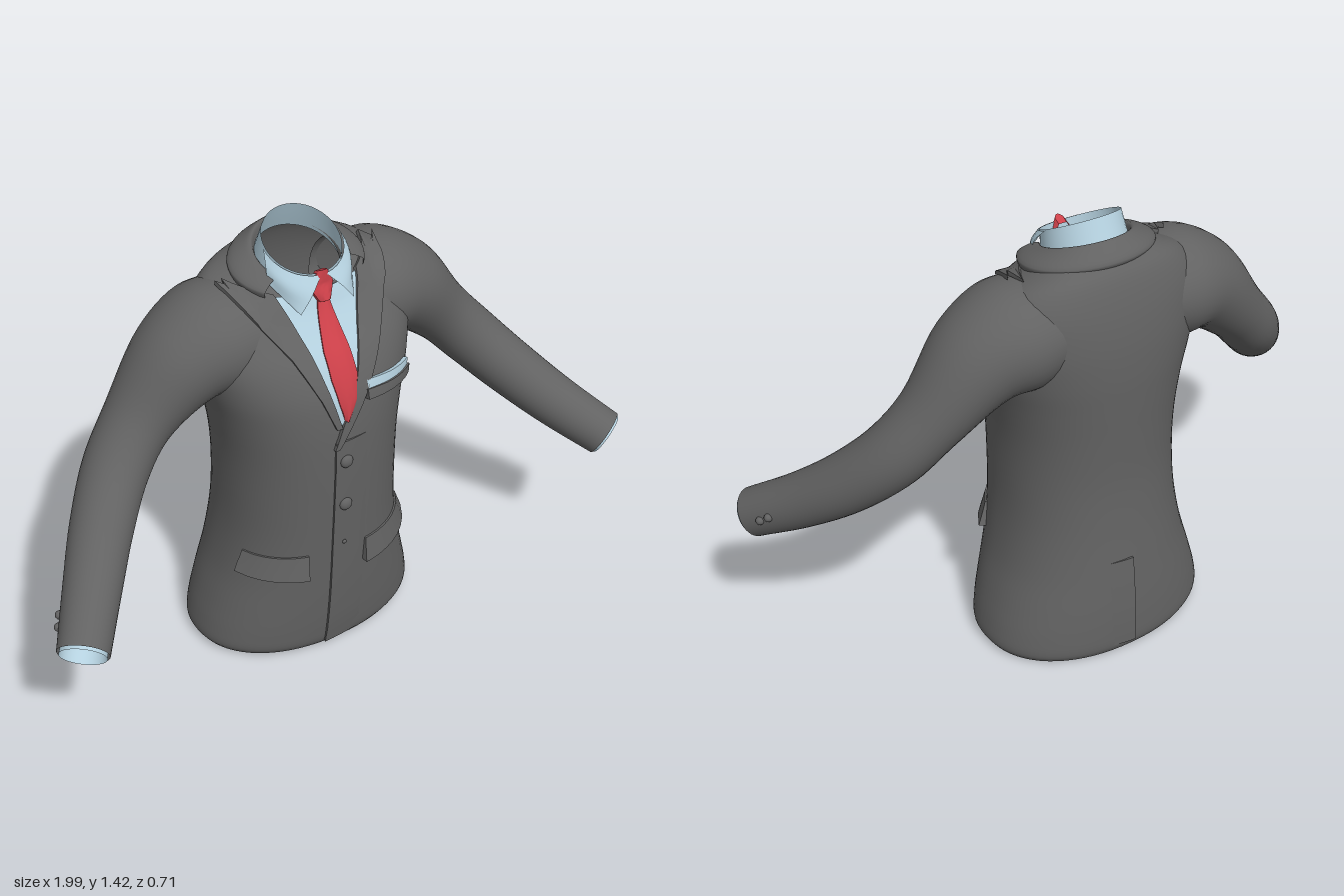
import * as THREE from 'three';
import { toCreasedNormals } from 'three/addons/utils/BufferGeometryUtils.js';

const V = (x, y, z) => new THREE.Vector3(x, y, z);
const lerp = THREE.MathUtils.lerp;

// Surface through a grid of points; rows[i][j], optionally closed around j.
function gridGeometry(rows, closed) {
  const n = rows[0].length, index = [];
  for (let i = 0; i < rows.length - 1; i++) {
    for (let j = 0; j < (closed ? n : n - 1); j++) {
      const k = (j + 1) % n, a = i * n, b = a + n;
      index.push(a + j, b + j, a + k, b + j, b + k, a + k);
    }
  }
  const geo = new THREE.BufferGeometry().setFromPoints(rows.flat());
  geo.setIndex(index);
  geo.computeVertexNormals();
  return geo;
}

// Smooth loft: a spline runs through the same point of every ring.
function loft(rings, steps, closed = true) {
  const curves = rings[0].map((_, j) => new THREE.CatmullRomCurve3(rings.map(r => r[j])));
  const rows = [];
  for (let i = 0; i <= steps; i++) rows.push(curves.map(c => c.getPoint(i / steps)));
  return gridGeometry(rows, closed);
}

export function createModel() {
  const model = new THREE.Group();
  model.name = 'suitJacket';
  const mat = (name, color) => {
    const m = new THREE.MeshStandardMaterial({ color, side: THREE.DoubleSide });
    m.name = name;
    return m;
  };
  const cloth = mat('charcoal cloth', 0x626262);
  const shirt = mat('pale blue shirt', 0xb4d0de);
  const red = mat('red tie', 0xcc4049);
  const add = (name, geo, material) => {
    const mesh = new THREE.Mesh(geo, material);
    mesh.name = name;
    model.add(mesh);
    return mesh;
  };

  // Body: height, half width, front z, back z, backward rise of the ring
  const bodyRings = [
    [0.008, 0.366, 0.16, -0.355, -0.02], [0.03, 0.378, 0.172, -0.364, -0.02],
    [0.09, 0.37, 0.181, -0.365, 0], [0.18, 0.346, 0.19, -0.36, 0],
    [0.3, 0.312, 0.198, -0.348, 0], [0.45, 0.287, 0.203, -0.332, 0],
    [0.6, 0.28, 0.207, -0.322, 0], [0.75, 0.284, 0.209, -0.324, 0],
    [0.88, 0.304, 0.204, -0.329, 0], [0.98, 0.33, 0.188, -0.331, 0],
    [1.08, 0.35, 0.15, -0.325, 0.05], [1.17, 0.34, 0.1, -0.306, 0.15],
    [1.24, 0.285, 0.062, -0.277, 0.25], [1.28, 0.2, 0.045, -0.245, 0.3],
    [1.315, 0.128, 0.03, -0.215, 0.4],
  ].map(([y, w, zf, zb, rise]) => {
    const zc = (zf + zb) / 2, d = (zf - zb) / 2, ring = [];
    const bend = c => Math.sign(c) * Math.abs(c) ** 0.92;
    for (let j = 0; j < 72; j++) {
      const a = j / 72 * Math.PI * 2, z = bend(Math.sin(a)) * d;
      ring.push(V(bend(Math.cos(a)) * w, y - rise * z, zc + z));
    }
    return ring;
  });
  const targets = [add('jacketBody', loft(bodyRings, 60), cloth)];

  // Sleeves with shirt cuffs: centre x, y, z, radius across, radius in depth
  const arm = [
    [0.17, 1.12, -0.115, 0.15, 0.17], [0.28, 1.105, -0.115, 0.165, 0.18],
    [0.39, 1.06, -0.11, 0.14, 0.155], [0.53, 0.92, -0.1, 0.1, 0.112],
    [0.63, 0.81, -0.06, 0.095, 0.102], [0.73, 0.7, 0.03, 0.09, 0.094],
    [0.83, 0.6, 0.15, 0.083, 0.084], [0.93, 0.515, 0.28, 0.075, 0.075],
  ];
  const spine = new THREE.CatmullRomCurve3(arm.map(p => V(p[0], p[1], p[2])));
  const armRing = (center, t, ru, rv, side) => {
    const v = V(0, 0, 1).addScaledVector(t, -t.z).normalize();
    const u = t.clone().cross(v), ring = [];
    for (let j = 0; j < 36; j++) {
      const a = j / 36 * Math.PI * 2;
      const p = center.clone().addScaledVector(u, Math.cos(a) * ru).addScaledVector(v, Math.sin(a) * rv);
      p.x *= side;
      ring.push(p);
    }
    return side < 0 ? ring.reverse() : ring;
  };
  const ray = new THREE.Raycaster();
  const end = spine.getPoint(1), aim = spine.getTangent(1);
  const cuff = [[-0.13, 0.05], [-0.05, 0.064], [0.008, 0.068]];
  for (const [side, label] of [[1, 'left'], [-1, 'right']]) {
    const rings = arm.map((p, i) =>
      armRing(V(p[0], p[1], p[2]), spine.getTangent(i / (arm.length - 1)), p[3], p[4], side));
    const sleeve = add(label + 'Sleeve', loft(rings, 42), cloth);
    targets.push(sleeve);
    const cuffRings = cuff.map(([s, r]) => armRing(end.clone().addScaledVector(aim, s), aim, r, r, side));
    add(label + 'ShirtCuff', loft(cuffRings, 6), shirt);
    for (const [y, z] of [[0.553, 0.184], [0.572, 0.16]]) {
      ray.set(V(side * 2, y, z), V(-side, 0, 0));
      const hit = ray.intersectObject(sleeve)[0];
      if (hit) add(label + 'SleeveButton', new THREE.SphereGeometry(0.013, 12, 8), cloth).position.copy(hit.point);
    }
  }

  // Point lying on the garment at x, y, lifted along its normal
  function onCloth(x, y, lift, dir = 1) {
    for (let yy = y; yy > y - 0.2; yy -= 0.008) {
      ray.set(V(x, yy, 2 * dir), V(0, 0, -dir));
      const hit = ray.intersectObjects(targets)[0];
      if (hit && hit.face.normal.z * dir > 0) {
        return V(x, y, hit.point.z).addScaledVector(hit.face.normal, lift);
      }
    }
    return V(x, y, 0);
  }

  // Thin layer following the garment; rows are [x0, y0, x1, y1], lift(u, v)
  function patch(name, rows, lift, material, dir = 1, nu = 8) {
    const grid = [], total = (rows.length - 1) * 6;
    for (let i = -1; i <= total + 1; i++) {
      const s = THREE.MathUtils.clamp(i, 0, total), k = Math.min(Math.floor(s / 6), rows.length - 2);
      const r = rows[k].map((q, c) => lerp(q, rows[k + 1][c], s / 6 - k)), line = [];
      for (let j = -1; j <= nu + 1; j++) {
        const u = THREE.MathUtils.clamp(j / nu, 0, 1);
        const rim = i < 0 || i > total || j < 0 || j > nu;
        const h = rim ? -0.003 : typeof lift === 'number' ? lift : lift(u, s / total);
        line.push(onCloth(lerp(r[0], r[2], u), lerp(r[1], r[3], u), h, dir));
      }
      grid.push(line);
    }
    return add(name, toCreasedNormals(gridGeometry(grid, false), 0.7), material);
  }

  // Shirt front, tie and lapels
  patch('shirtFront', [[-0.14, 1.25, 0.14, 1.25], [-0.12, 1.2, 0.12, 1.2], [-0.1, 1.1, 0.09, 1.1],
    [-0.068, 0.98, 0.03, 0.98], [-0.04, 0.89, -0.022, 0.89]], 0.005, shirt);
  patch('tieBlade', [[-0.02, 1.235, 0.014, 1.235], [-0.05, 1.1, 0.032, 1.1], [-0.05, 1.03, 0.035, 1.03],
    [-0.038, 0.96, 0.022, 0.96], [-0.024, 0.9, -0.012, 0.9]],
  u => 0.01 + 0.008 * Math.sin(u * Math.PI), red);
  patch('tieKnot', [[-0.014, 1.31, 0.012, 1.31], [-0.042, 1.262, 0.034, 1.262], [-0.02, 1.222, 0.014, 1.222]],
    u => 0.02 + 0.012 * Math.sin(u * Math.PI), red);
  patch('leftLapel', [[0.135, 1.255, 0.27, 1.278], [0.108, 1.2, 0.222, 1.2], [0.066, 1.1, 0.15, 1.1],
    [0.016, 0.98, 0.065, 0.98], [-0.03, 0.89, 0.005, 0.89], [-0.06, 0.81, -0.045, 0.81]], 0.012, cloth);
  patch('rightLapel', [[-0.26, 1.278, -0.135, 1.255], [-0.21, 1.2, -0.117, 1.2], [-0.145, 1.1, -0.088, 1.1],
    [-0.09, 0.98, -0.06, 0.98], [-0.052, 0.88, -0.034, 0.88]], 0.012, cloth);

  // Front overlap and back vent, each raised at one edge
  patch('frontOverlap', [[-0.055, 0.83, 0.06, 0.83], [-0.06, 0.4, 0.06, 0.4], [-0.065, 0.03, 0.06, 0.03]],
    u => 0.009 * (1 - u), cloth);
  patch('backVent', [[0, 0.34, 0.08, 0.34], [0, 0.03, 0.08, 0.03]], u => 0.008 * (1 - u), cloth, -1);

  // Pockets
  const flare = (u, v) => 0.006 + 0.016 * v;
  patch('leftPocketFlap', [[0.06, 0.42, 0.268, 0.41], [0.055, 0.335, 0.285, 0.335]], flare, cloth);
  patch('rightPocketFlap', [[-0.275, 0.41, -0.13, 0.42], [-0.288, 0.335, -0.13, 0.335]], flare, cloth);
  patch('pocketSquare', [[0.06, 1, 0.24, 0.975], [0.06, 0.965, 0.24, 0.945]], 0.012, shirt);
  patch('breastPocketWelt', [[0.055, 0.974, 0.243, 0.953], [0.055, 0.944, 0.24, 0.925]], 0.018, cloth);

  // Front buttons
  for (const [y, r] of [[0.76, 0.021], [0.6, 0.021], [0.45, 0.007]]) {
    const button = add('frontButton', new THREE.SphereGeometry(r, 20, 12), cloth);
    button.position.copy(onCloth(-0.022, y, 0.008));
    button.scale.z = 0.6;
  }

  // Collars run round the neck; angle 0 is the back
  const neck = (a, w, d, zc, y, rise) =>
    V(Math.sin(a) * w, y + Math.cos(a) * rise, zc - Math.cos(a) * d);
  const around = (from, to, n, ...dims) =>
    Array.from({ length: n + 1 }, (_, j) => neck(lerp(from, to, j / n), ...dims));
  const R = 2.2;
  add('jacketCollar', loft([
    around(-R, R, 40, 0.122, 0.118, -0.085, 1.3, 0.045),
    around(-R, R, 40, 0.132, 0.126, -0.085, 1.325, 0.045),
    around(-R, R, 40, 0.16, 0.145, -0.088, 1.32, 0.035),
    around(-R, R, 40, 0.205, 0.172, -0.09, 1.294, 0.028),
    around(-R, R, 40, 0.203, 0.165, -0.09, 1.275, 0.028),
  ], 16, false), cloth);
  add('shirtCollarStand', loft([
    around(-Math.PI, Math.PI, 40, 0.126, 0.124, -0.085, 1.285, 0.045),
    around(-Math.PI, Math.PI, 40, 0.122, 0.116, -0.072, 1.325, 0.05),
    around(-Math.PI, Math.PI, 40, 0.117, 0.108, -0.06, 1.365, 0.055),
  ], 8, false), shirt);

  // Folded collar points
  for (const side of [1, -1]) {
    const top = around(side * 3.08, side * 1.5, 8, 0.122, 0.114, -0.06, 1.362, 0.055);
    const tip = onCloth(side * 0.086, 1.2, 0.024), heel = V(side * 0.14, 1.285, -0.02);
    const bottom = top.map((_, j) => tip.clone().lerp(heel, j / 8));
    const middle = top.map((p, j) => p.clone().lerp(bottom[j], 0.5).add(V(side * 0.004, 0, 0.01)));
    add(side > 0 ? 'leftCollarPoint' : 'rightCollarPoint', loft([top, middle, bottom], 8, false), shirt);
  }
  return model;
}
